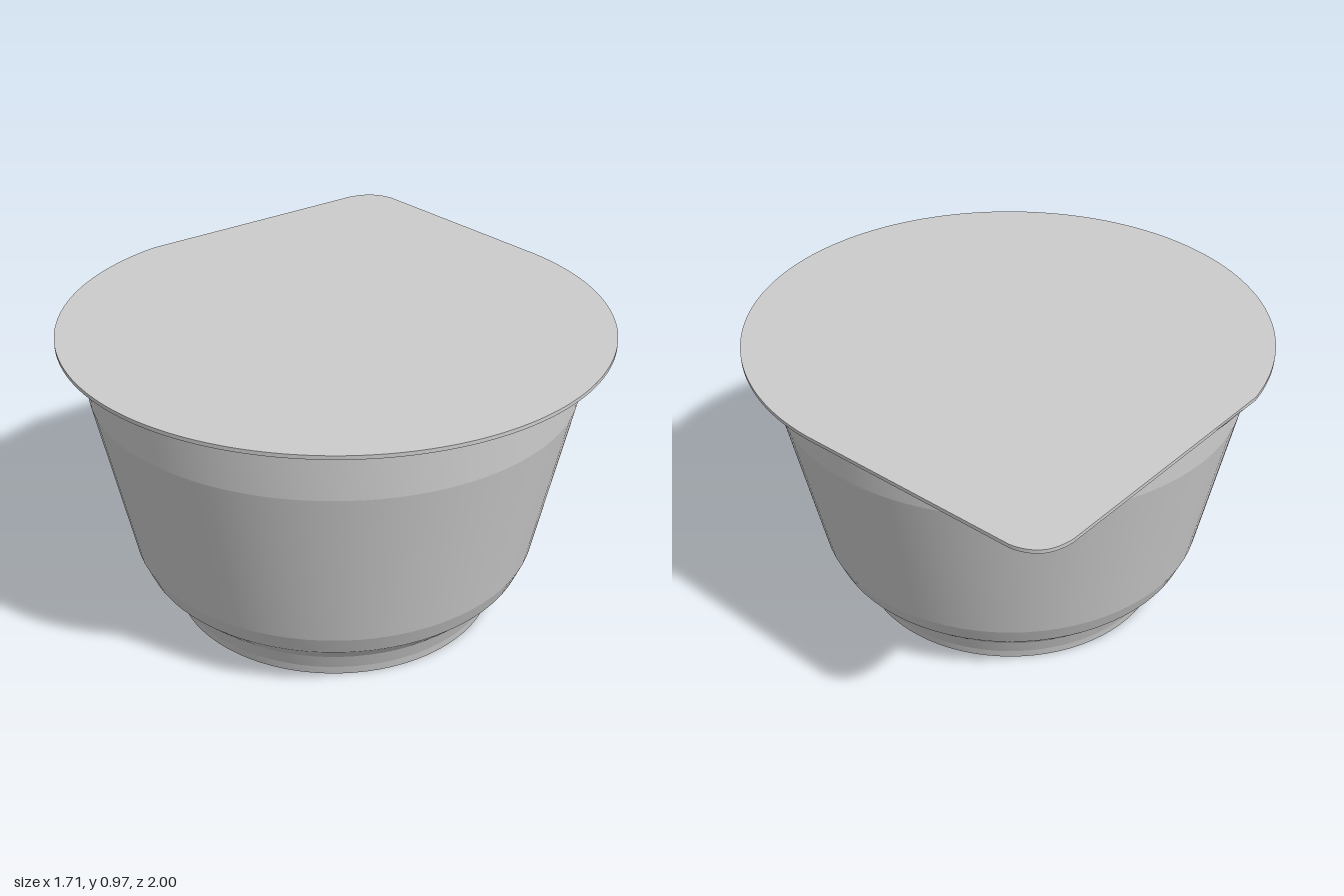
import * as THREE from 'three';
import { toCreasedNormals } from 'three/addons/utils/BufferGeometryUtils.js';

const CENTER_Z = 0.143; // axis of the round cup
const LID_RADIUS = 0.857;

export function createModel() {
  const grey = new THREE.MeshStandardMaterial({ color: 0xcccccc });
  grey.name = 'plastic grey';

  const model = new THREE.Group();
  model.name = 'lidded cup';

  // Cup: stepped foot, tapered wall, straight collar and flared rim
  const profile = [
    [0, 0], [0.538, 0], [0.543, 0.03], [0.562, 0.085],
    [0.638, 0.165], [0.664, 0.23], [0.768, 0.78], [0.768, 0.922],
    [0.815, 0.936], [0.83, 0.945], [0.843, 0.963], [0, 0.963],
  ].map(([r, y]) => new THREE.Vector2(r, y));
  const cupGeometry = toCreasedNormals(new THREE.LatheGeometry(profile, 80), 0.13);
  const cup = new THREE.Mesh(cupGeometry, grey);
  cup.name = 'cup';
  cup.position.set(-0.007, 0, CENTER_Z);
  model.add(cup);

  // Lid: thin disc drawn out to a rounded pull tab at the back (shape y = -z)
  const tabAngle = THREE.MathUtils.degToRad(39.5);
  const outline = new THREE.Shape();
  outline.absarc(0, -CENTER_Z, LID_RADIUS, Math.PI - tabAngle, Math.PI * 2 + tabAngle, false);
  outline.lineTo(0.165, 0.965);
  outline.quadraticCurveTo(0.125, 1.0, 0.08, 1.0);
  outline.quadraticCurveTo(0.045, 1.0, 0, 0.97);
  outline.closePath();
  const lidGeometry = new THREE.ExtrudeGeometry(outline, {
    depth: 0.012, bevelEnabled: false, curveSegments: 80,
  });
  lidGeometry.rotateX(-Math.PI / 2);
  const lid = new THREE.Mesh(toCreasedNormals(lidGeometry, 0.3), grey);
  lid.name = 'lid';
  lid.position.y = 0.96;
  model.add(lid);

  return model;
}
